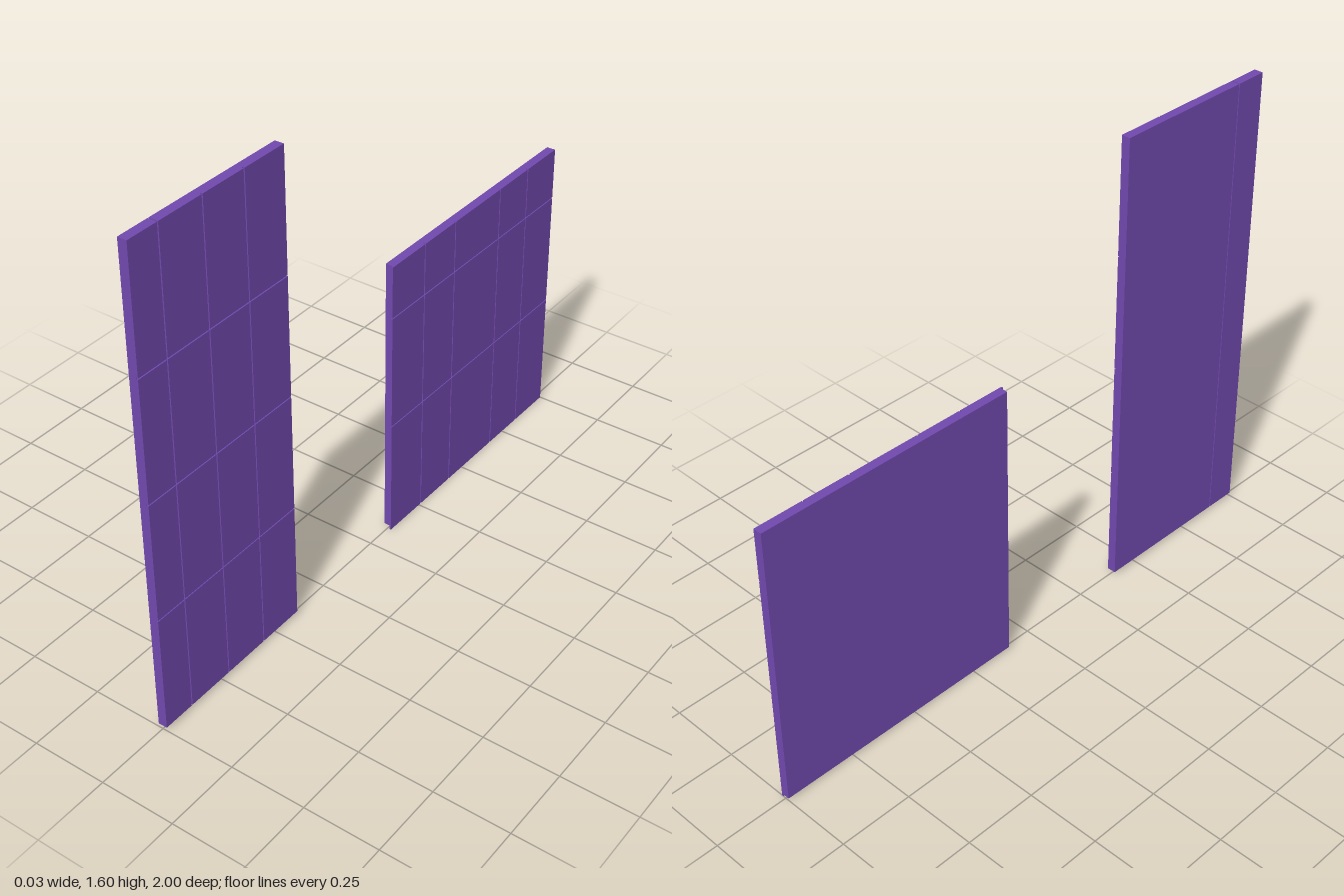
import * as THREE from 'three';

const GAP = 0.004;      // seam between neighbouring tiles
const BACK = -0.015;    // rear face of the boards
const SEAT = 0.009;     // plane where tiles meet the boards
const FACE = 0.015;     // outer face of the tiles

export function createModel() {
  const model = new THREE.Group();
  const purple = new THREE.MeshStandardMaterial({ color: 0x7149af });
  purple.name = 'purple';

  // Axis-aligned block given by its limits
  function block(name, parent, [x0, x1], [y0, y1], [z0, z1]) {
    const mesh = new THREE.Mesh(new THREE.BoxGeometry(x1 - x0, y1 - y0, z1 - z0), purple);
    mesh.position.set((x0 + x1) / 2, (y0 + y1) / 2, (z0 + z1) / 2);
    mesh.name = name;
    parent.add(mesh);
  }

  // Grid of tiles between seam lines; only inner seams are opened
  function tiles(parent, ys, zs) {
    const span = (a, i) => [
      a[i] + (i > 0 ? GAP / 2 : 0),
      a[i + 1] - (i < a.length - 2 ? GAP / 2 : 0),
    ];
    for (let r = 0; r < ys.length - 1; r++) {
      for (let c = 0; c < zs.length - 1; c++) {
        block('tile', parent, [SEAT, FACE], span(ys, r), span(zs, c));
      }
    }
  }

  // Tall panel: two boards with an open joint, four rows of tiles
  const tall = new THREE.Group();
  tall.name = 'tallPanel';
  block('wideBoard', tall, [BACK, SEAT], [0.012, 1.604], [0.4, 0.888]);
  block('narrowBoard', tall, [BACK, SEAT], [0.012, 1.604], [0.892, 1]);
  tiles(tall, [0.012, 0.41, 0.808, 1.206, 1.604], [0.4, 0.562, 0.725, 0.89, 1]);
  model.add(tall);

  // Low panel: tiles overhang the board at its bottom and inner end, slight skew
  const low = new THREE.Group();
  low.name = 'lowPanel';
  const mid = -0.5475;
  block('lowBoard', low, [BACK, SEAT], [0.008, 0.985], [-1 - mid, -0.1 - mid]);
  tiles(low, [0, 0.408, 0.806, 0.985],
    [-1, -0.835, -0.673, -0.423, -0.26, -0.093].map((z) => z - mid));
  low.position.z = mid;
  low.rotation.y = -0.004;
  model.add(low);

  return model;
}
